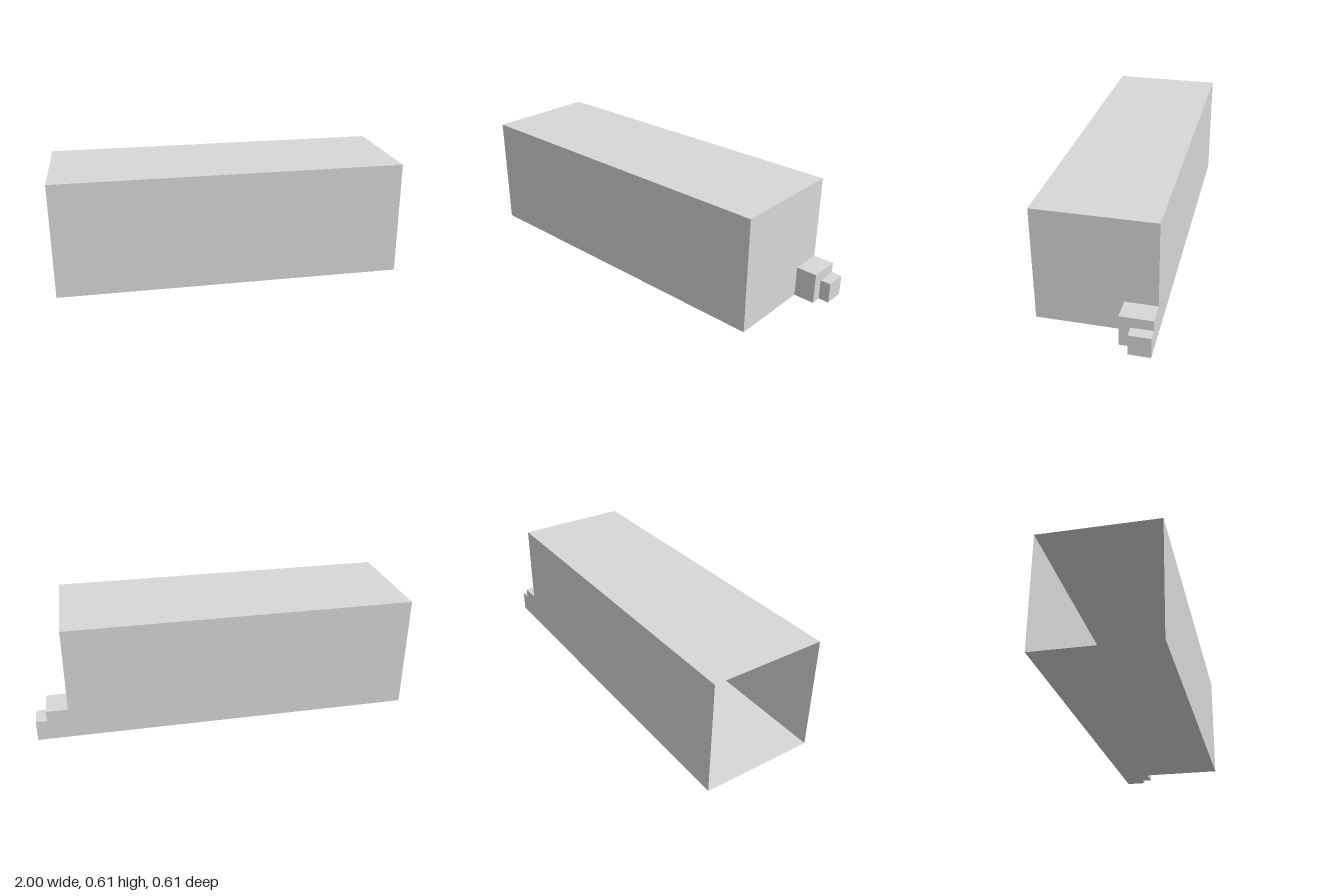
import * as THREE from 'three';

const BACK = -0.304; // back plane shared by all sections

// Box sleeve without its -x end
function sleeveGeometry(length, height, depth) {
  const geometry = new THREE.BoxGeometry(length, height, depth);
  const kept = [];
  for (const { start, count, materialIndex } of geometry.groups) {
    if (materialIndex === 1) continue; // open -x end
    for (let i = start; i < start + count; i++) kept.push(geometry.index.getX(i));
  }
  geometry.setIndex(kept);
  geometry.clearGroups();
  return geometry;
}

export function createModel() {
  const group = new THREE.Group();
  const lightGrey = new THREE.MeshStandardMaterial({ color: 0xd8d8d8, side: THREE.DoubleSide });

  // Main block, then two shrinking steps at the back corner
  const sections = [
    { name: 'mainBlock', from: -1, to: 0.833, height: 0.61, depth: 0.608 },
    { name: 'largeStep', from: 0.833, to: 0.944, height: 0.165, depth: 0.165 },
    { name: 'smallStep', from: 0.944, to: 1, height: 0.11, depth: 0.11 },
  ];

  for (const { name, from, to, height, depth } of sections) {
    const part = new THREE.Mesh(sleeveGeometry(to - from, height, depth), lightGrey);
    part.name = name;
    part.position.set((from + to) / 2, height / 2, BACK + depth / 2);
    group.add(part);
  }
  return group;
}
